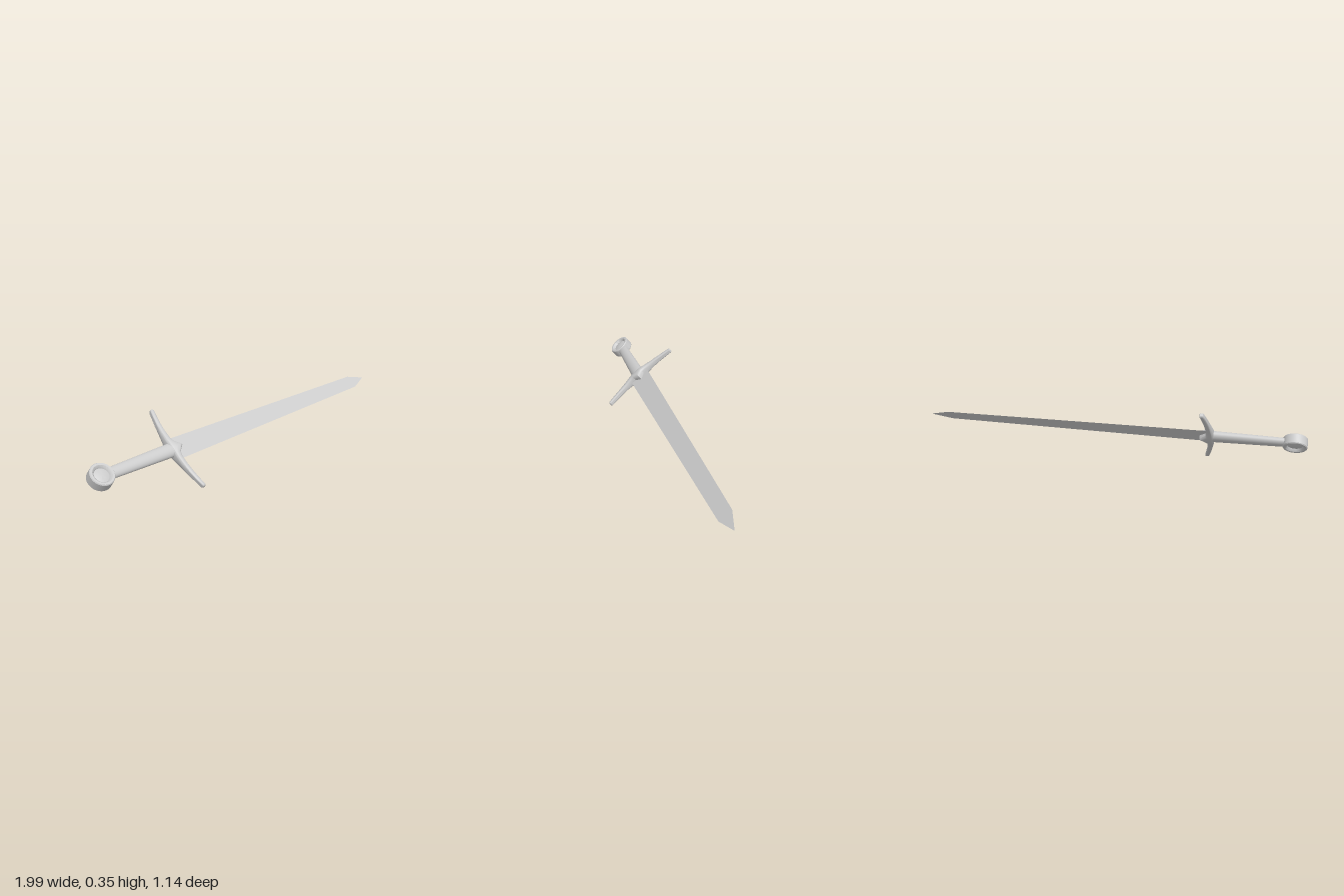
import * as THREE from 'three';
import { toCreasedNormals } from 'three/addons/utils/BufferGeometryUtils.js';

const grey = new THREE.MeshStandardMaterial({ color: 0xcccccc });
const greyThin = new THREE.MeshStandardMaterial({ color: 0xcccccc, side: THREE.DoubleSide });

function part(name, geometry, material = grey) {
  const mesh = new THREE.Mesh(geometry, material);
  mesh.name = name;
  return mesh;
}

// Loft of rounded sections stacked along y; each station is [y, xBack, xFront, halfThickness]
function loft(stations, sides) {
  const pos = [], index = [];
  const round = (c) => Math.sign(c) * Math.pow(Math.abs(c), 0.6);
  stations.forEach(([y, x0, x1, h], i) => {
    for (let j = 0; j < sides; j++) {
      const t = (j / sides) * Math.PI * 2;
      pos.push((x0 + x1) / 2 + ((x1 - x0) / 2) * round(Math.cos(t)), y, h * round(Math.sin(t)));
      if (i === stations.length - 1) continue;
      const a = i * sides + j, b = i * sides + ((j + 1) % sides);
      index.push(a, a + sides, b, b, a + sides, b + sides);
    }
  });
  const g = new THREE.BufferGeometry();
  g.setAttribute('position', new THREE.Float32BufferAttribute(pos, 3));
  g.setIndex(index);
  return toCreasedNormals(g, 0.6);
}

export function createModel() {
  // Built lying along x with the guard along y, pommel at the origin
  const sword = new THREE.Group();
  sword.name = 'sword';

  // Flat tapering blade
  const outline = new THREE.Shape([
    [0.47, -0.067], [2.075, -0.044], [2.2, 0], [2.075, 0.044], [0.47, 0.067],
  ].map(([x, y]) => new THREE.Vector2(x, y)));
  sword.add(part('blade', new THREE.ShapeGeometry(outline), greyThin));

  // Curved guard with a pointed middle, mirrored about its centre
  const half = [
    [0, 0.45, 0.535, 0.036], [0.035, 0.451, 0.497, 0.033], [0.06, 0.453, 0.492, 0.028],
    [0.11, 0.461, 0.494, 0.021], [0.17, 0.472, 0.501, 0.017], [0.22, 0.483, 0.51, 0.015],
    [0.257, 0.492, 0.517, 0.014], [0.264, 0.497, 0.513, 0.009], [0.264, 0.505, 0.505, 0],
  ];
  const mirrored = half.slice(1).reverse().map(([y, ...rest]) => [-y, ...rest]);
  sword.add(part('guard', loft([...mirrored, ...half], 20)));

  // Oval grip, widening towards the guard
  const grip = new THREE.CylinderGeometry(0.042, 0.033, 0.42, 32);
  grip.rotateZ(-Math.PI / 2).scale(1, 1, 0.7).translate(0.265, 0, 0);
  sword.add(part('grip', grip));

  // Disc pommel with a raised rim and a shallow dome on both faces
  const face = [
    [0.068, 0.025], [0.064, 0.03], [0.053, 0.03], [0.046, 0.024],
    [0.041, 0.015], [0.034, 0.017], [0.018, 0.02], [0, 0.021],
  ];
  const profile = [...face.slice().reverse().map(([r, h]) => [r, -h]), ...face];
  const pommel = new THREE.LatheGeometry(profile.map(([r, h]) => new THREE.Vector2(r, h)), 40);
  pommel.rotateX(Math.PI / 2);
  sword.add(part('pommel', toCreasedNormals(pommel, 0.6)));

  // Lay the sword at its resting angle
  const along = new THREE.Vector3(0.873, 0.0236, -0.486).normalize();
  const normal = along.clone().cross(new THREE.Vector3(-0.388, 0.631, -0.672)).normalize();
  const across = normal.clone().cross(along);
  sword.quaternion.setFromRotationMatrix(new THREE.Matrix4().makeBasis(along, across, normal));
  sword.position.set(-0.926, 0.168, 0.498);

  const model = new THREE.Group();
  model.add(sword);
  return model;
}
